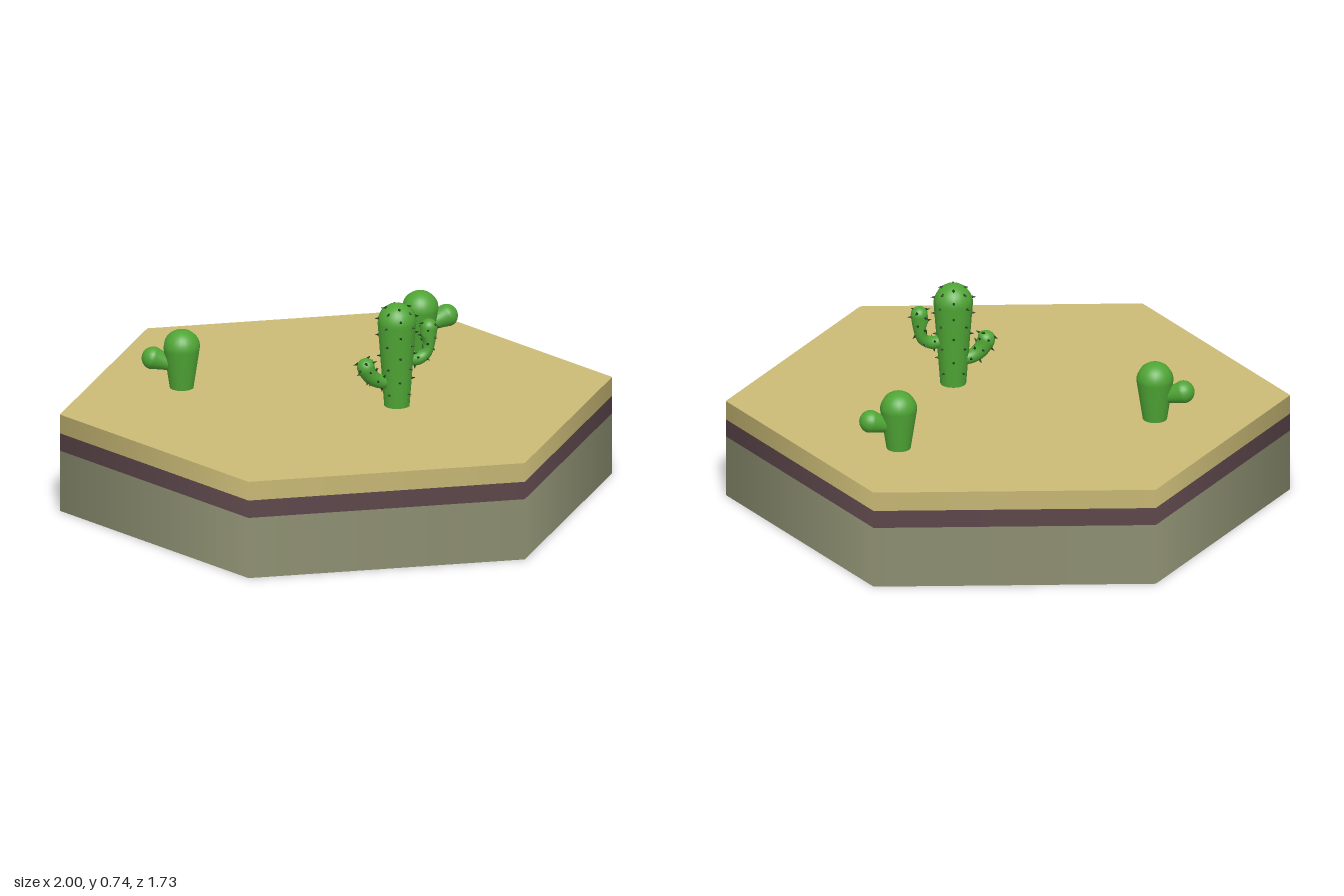
import * as THREE from 'three';
import { mergeGeometries, mergeVertices } from 'three/addons/utils/BufferGeometryUtils.js';

const GROUND = 0.36;
const SEGS = 48, SIDES = 24;
const material = (color) => new THREE.MeshStandardMaterial({ color });

// Round-ended stem: radius runs from r0 to r1 along the path and closes in a dome.
// Optional spines sit in staggered rows, spaced by step.
function makeStem(name, points, r0, r1, mats, ribs = 0, spines = null) {
  const group = new THREE.Group();
  group.name = name;
  const curve = new THREE.CatmullRomCurve3(points.map((p) => new THREE.Vector3(...p)));
  const length = curve.getLength();
  let geo = new THREE.TubeGeometry(curve, SEGS, 1, SIDES);
  const pos = geo.attributes.position;
  const cones = [];
  const up = new THREE.Vector3(0, 1, 0);
  const vertex = new THREE.Vector3();
  for (let i = 0; i <= SEGS; i++) {
    // Spacing tightens toward the tip so the dome is smooth
    const t = Math.sin((i / SEGS) * Math.PI / 2);
    const centre = curve.getPointAt(i / SEGS);
    const target = curve.getPointAt(t);
    const fromTip = (1 - t) * length;
    let r = r0 + (r1 - r0) * Math.min(1, t * length / (length - r1));
    if (fromTip < r1) r *= Math.sqrt(Math.max(0, 1 - (1 - fromTip / r1) ** 2));
    for (let j = 0; j <= SIDES; j++) {
      const k = i * (SIDES + 1) + j;
      const dir = vertex.fromBufferAttribute(pos, k).sub(centre).normalize().clone();
      const rr = r * (1 - ribs * (j % 2));
      vertex.copy(target).addScaledVector(dir, rr);
      pos.setXYZ(k, vertex.x, vertex.y, vertex.z);
      const row = Math.round(i / (spines?.step ?? 1));
      const wanted = spines && i > 1 && i < SEGS * 0.85 && i % spines.step === 0
        && j < SIDES && (j + (row % 2) * spines.around / 2) % spines.around === 0;
      if (wanted) {
        const cone = new THREE.ConeGeometry(0.006, 0.018, 5);
        cone.translate(0, 0.005, 0);
        cone.applyQuaternion(new THREE.Quaternion().setFromUnitVectors(up, dir));
        cone.translate(vertex.x, vertex.y, vertex.z);
        cones.push(cone);
      }
    }
  }
  geo.deleteAttribute('uv');
  geo.deleteAttribute('normal');
  geo = mergeVertices(geo, 1e-5);
  geo.computeVertexNormals();
  const flesh = new THREE.Mesh(geo, mats.flesh);
  flesh.name = name + 'Flesh';
  group.add(flesh);
  if (cones.length) {
    const mesh = new THREE.Mesh(mergeGeometries(cones), mats.spine);
    mesh.name = name + 'Spines';
    group.add(mesh);
  }
  return group;
}

// Stubby cactus with one bulbous side bud
function makeSmallCactus(name, x, z, side, mats) {
  const cactus = new THREE.Group();
  cactus.name = name;
  cactus.add(makeStem('stem', [[0, 0, 0], [0, 0.1, 0], [0, 0.215, 0]], 0.043, 0.066, mats, 0.03));
  cactus.add(makeStem('bud',
    [[side * 0.03, 0.085, -0.005], [side * 0.085, 0.105, -0.018], [side * 0.138, 0.122, -0.024]],
    0.022, 0.041, mats));
  cactus.position.set(x, GROUND, z);
  return cactus;
}

// Tall spiny cactus with two upturned arms
function makeTallCactus(mats) {
  const cactus = new THREE.Group();
  cactus.name = 'tallCactus';
  cactus.add(
    makeStem('trunk', [[0, 0, 0], [0, 0.19, 0], [0, 0.38, 0]], 0.046, 0.07, mats, 0.04,
      { step: 4, around: 6 }),
    makeStem('leftArm',
      [[0.03, 0.165, -0.005], [0.085, 0.165, -0.018], [0.112, 0.19, -0.024], [0.118, 0.24, -0.026], [0.124, 0.305, -0.028]],
      0.021, 0.031, mats, 0.03, { step: 6, around: 8 }),
    makeStem('rightArm',
      [[-0.03, 0.09, 0.005], [-0.07, 0.1, 0.014], [-0.1, 0.125, 0.02], [-0.13, 0.187, 0.026]],
      0.022, 0.034, mats, 0.03, { step: 6, around: 8 }),
  );
  cactus.position.set(0.19, GROUND, 0.145);
  return cactus;
}

export function createModel() {
  const model = new THREE.Group();
  model.name = 'desertTile';

  // Stacked hexagonal ground layers
  const layers = [
    ['stoneLayer', 0, 0.225, 0x8f9173],
    ['earthLayer', 0.225, 0.29, 0x5e484c],
    ['sandLayer', 0.29, GROUND, 0xcaba76],
  ];
  for (const [name, y0, y1, color] of layers) {
    const geo = new THREE.CylinderGeometry(1, 1, y1 - y0, 6, 1, false, Math.PI / 2);
    const layer = new THREE.Mesh(geo, material(color));
    layer.name = name;
    layer.position.y = (y0 + y1) / 2;
    model.add(layer);
  }

  // Cacti
  const mats = { flesh: material(0x4fa535), spine: material(0x1f3d1a) };
  model.add(
    makeTallCactus(mats),
    makeSmallCactus('smallCactusLeft', 0.4, -0.45, 1, mats),
    makeSmallCactus('smallCactusRight', -0.515, -0.205, -1, mats),
  );
  return model;
}
